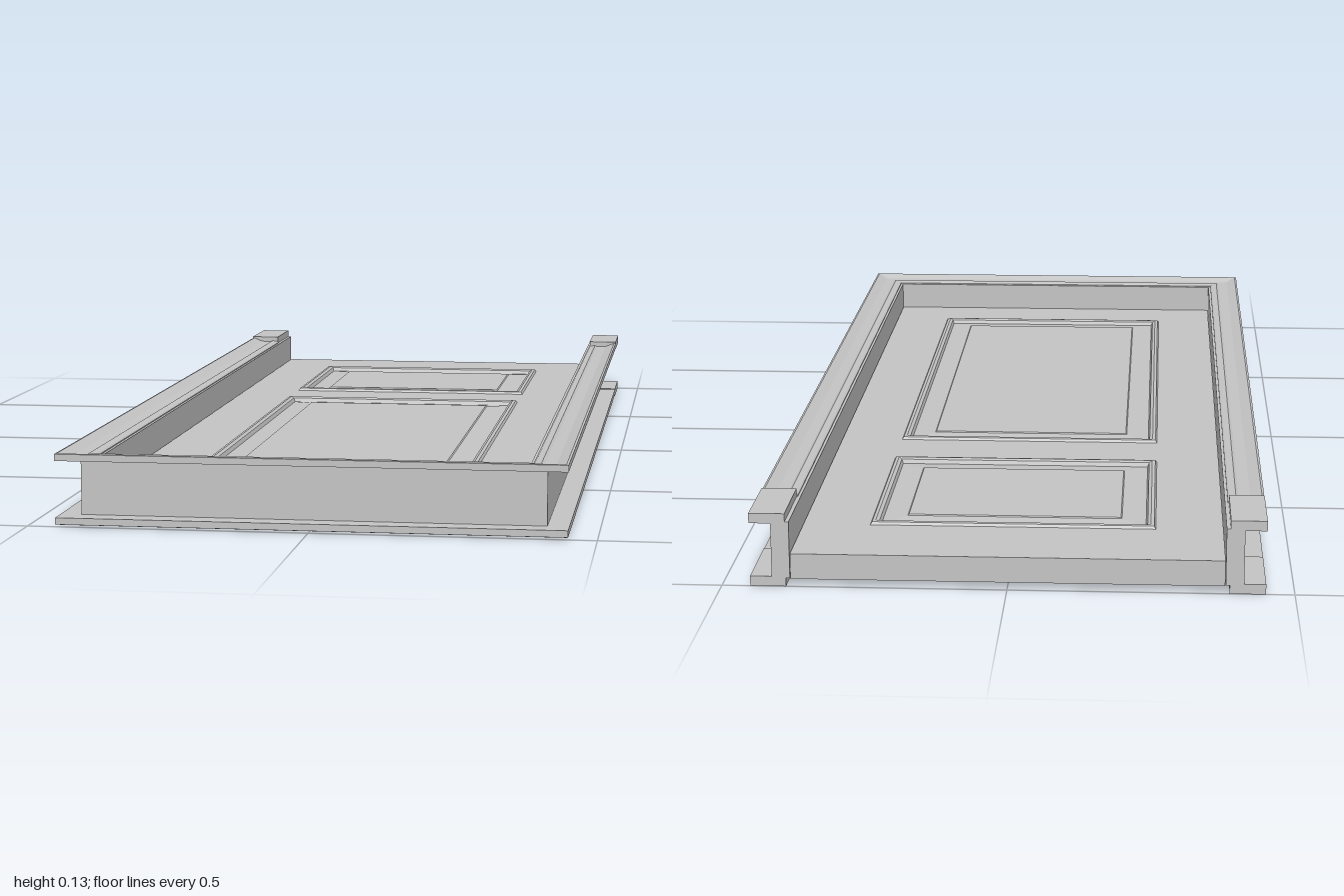
import * as THREE from 'three';

const HEIGHT = 0.133;                       // overall depth of the frame
const SLAB_TOP = 0.06, SLAB_BOTTOM = 0.014;
const SLAB_MID = (SLAB_TOP + SLAB_BOTTOM) / 2;

// flat-shaded geometry from a list of triangle corners
function facets(points) {
  const g = new THREE.BufferGeometry();
  g.setAttribute('position', new THREE.Float32BufferAttribute(points.flat(), 3));
  g.computeVertexNormals();
  return g;
}

// sweeps a counter-clockwise profile of [distance outward, y] round three sides of the door
function sweepFrame(profile, zEnd) {
  const corners = ([d, y]) => {
    const a = 0.38 + d, b = 0.93 + d;
    return [[-a, y, zEnd], [-a, y, b], [a, y, b], [a, y, zEnd]];
  };
  const rows = profile.map(corners);
  const pts = [];
  rows.forEach((r, j) => {
    const n = rows[(j + 1) % rows.length];
    for (let i = 0; i < 3; i++) pts.push(r[i], r[i + 1], n[i + 1], r[i], n[i + 1], n[i]);
  });
  const contour = profile.map(p => new THREE.Vector2(...p));
  for (const [a, b, c] of THREE.ShapeUtils.triangulateShape(contour, [])) {
    pts.push(rows[a][0], rows[b][0], rows[c][0]);
    pts.push(rows[a][3], rows[c][3], rows[b][3]);
  }
  return facets(pts);
}

// moulded panel face from nested rectangles of [inset, height above the slab]
function panelFace(halfW, z0, z1, rings) {
  const rects = rings.map(([s, h]) => {
    const w = halfW - s, y = SLAB_TOP - SLAB_MID + h;
    return [[-w, y, z1 - s], [w, y, z1 - s], [w, y, z0 + s], [-w, y, z0 + s]];
  });
  const pts = [];
  for (let k = 0; k < rects.length - 1; k++) {
    for (let i = 0; i < 4; i++) {
      const n = (i + 1) % 4, o = rects[k], p = rects[k + 1];
      pts.push(o[i], o[n], p[n], o[i], p[n], p[i]);
    }
  }
  const f = rects[rects.length - 1];
  pts.push(f[0], f[1], f[2], f[0], f[2], f[3]);
  return facets(pts);
}

export function createModel() {
  const model = new THREE.Group();
  model.name = 'panelDoor';
  const paint = new THREE.MeshStandardMaterial({ color: 0xc4c4c4 });
  paint.name = 'greyPaint';
  const add = (name, geometry, parent = model) => {
    const mesh = new THREE.Mesh(geometry, paint);
    mesh.name = name;
    parent.add(mesh);
    return mesh;
  };

  // jamb round both sides and the head
  add('jamb', sweepFrame([[0, 0.015], [0.032, 0.015], [0.032, 0.118], [0, 0.118]], -1));

  // moulded casing on both faces of the jamb
  const casing = [
    [0.005, 0.117], [0.07, 0.117], [0.07, 0.129], [0.066, 0.13], [0.046, 0.122],
    [0.025, 0.121], [0.02, 0.124], [0.008, 0.122], [0.005, 0.12],
  ];
  add('upperCasing', sweepFrame(casing, -0.85));
  add('lowerCasing', sweepFrame(casing.map(([d, y]) => [d, HEIGHT - y]).reverse(), -0.85));

  // plinth blocks at the foot of the casing
  for (const side of [-1, 1]) {
    for (const y of [0.009, HEIGHT - 0.009]) {
      const block = add('plinthBlock', new THREE.BoxGeometry(0.063, 0.018, 0.15));
      block.position.set(side * 0.4185, y, -0.925);
    }
  }

  // door slab with two panel openings
  const panels = [['shortPanel', -0.83, -0.405], ['tallPanel', -0.27, 0.795]];
  const halfW = 0.258;
  const rect = (Type, w, z0, z1) => new Type([
    new THREE.Vector2(-w, z0), new THREE.Vector2(w, z0),
    new THREE.Vector2(w, z1), new THREE.Vector2(-w, z1),
  ]);
  const outline = rect(THREE.Shape, 0.379, -1, 0.929);
  panels.forEach(([, z0, z1]) => outline.holes.push(rect(THREE.Path, halfW, z0, z1)));
  const slab = new THREE.ExtrudeGeometry(outline, { depth: SLAB_TOP - SLAB_BOTTOM, bevelEnabled: false });
  slab.rotateX(Math.PI / 2).translate(0, SLAB_TOP, 0);
  add('doorSlab', slab);

  // raised panels with moulded borders on both faces
  const rings = [
    [0, 0], [0.003, 0.005], [0.009, 0.006], [0.015, 0.003], [0.018, -0.005],
    [0.062, -0.001], [0.064, 0.001],
  ];
  for (const [name, z0, z1] of panels) {
    const group = new THREE.Group();
    group.name = name;
    group.position.y = SLAB_MID;
    const geometry = panelFace(halfW, z0, z1, rings);
    add('upperFace', geometry, group);
    add('lowerFace', geometry, group).rotation.z = Math.PI;
    model.add(group);
  }
  return model;
}
